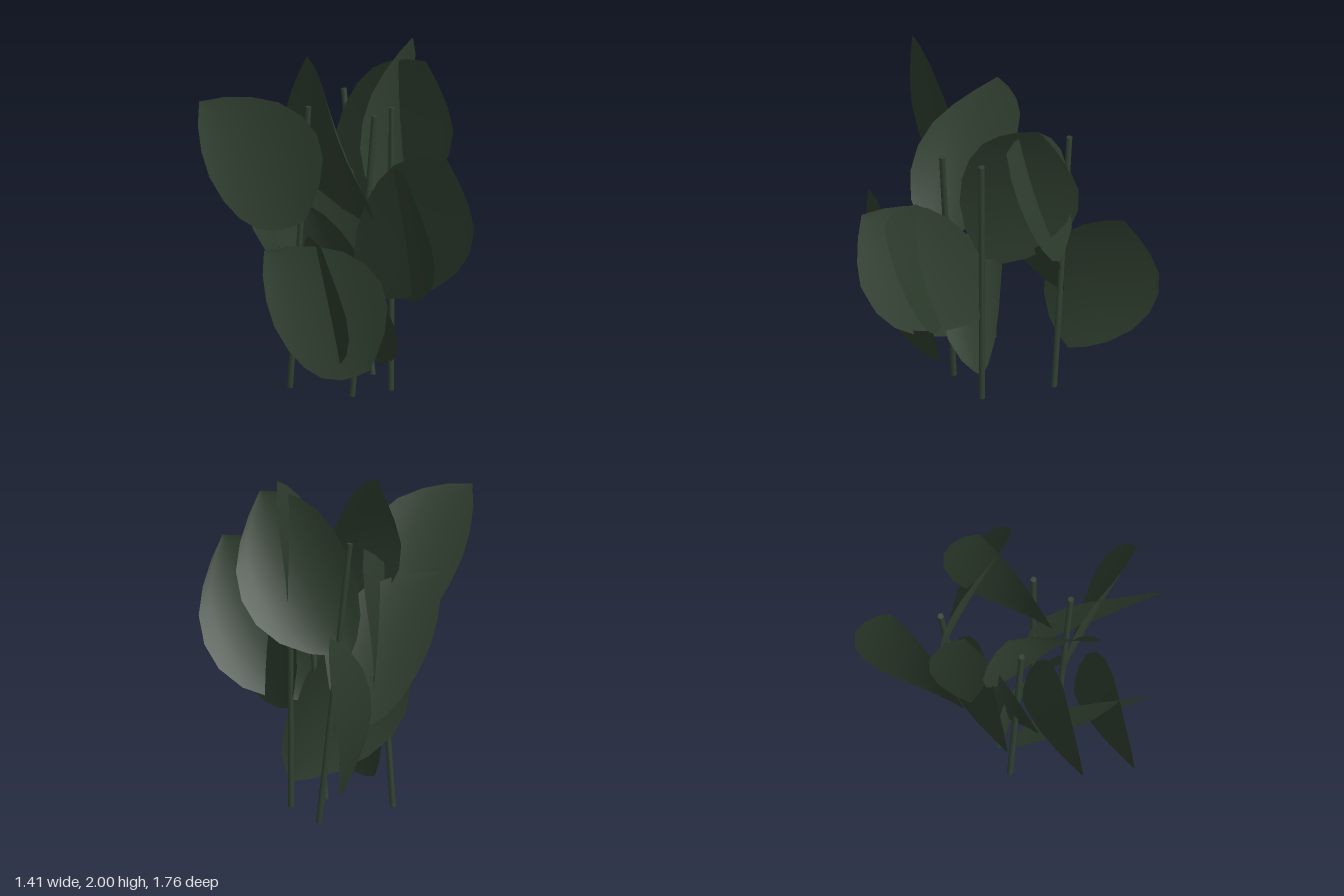
import * as THREE from 'three';

const leafGreen = new THREE.MeshStandardMaterial({ color: 0x2e3d2e, side: THREE.DoubleSide });
leafGreen.name = 'leaf green';
const stemGreen = new THREE.MeshStandardMaterial({ color: 0x2f4030 });
stemGreen.name = 'stem green';

// Half-width of a leaf along its midrib: a corner at the stem and at the tip
const OUTLINE = [
  [0, 0], [0.04, 0.24], [0.12, 0.55], [0.25, 0.84], [0.4, 0.99], [0.55, 1],
  [0.7, 0.88], [0.82, 0.64], [0.92, 0.34], [1, 0],
];
const ACROSS = 8;

// A cupped leaf through five points: base, middle and tip of the midrib, and its two side edges
function leafGeometry({ base, mid, tip, low, up }) {
  const [b, m, t, l, u] = [base, mid, tip, low, up].map((p) => new THREE.Vector3(...p));
  const control = m.clone().multiplyScalar(2).addScaledVector(b, -0.5).addScaledVector(t, -0.5);
  const midrib = new THREE.QuadraticBezierCurve3(b, control, t);
  const side = u.clone().sub(l).multiplyScalar(0.5);
  const cup = u.clone().add(l).multiplyScalar(0.5).sub(m);
  const positions = [];
  const index = [];
  OUTLINE.forEach(([s, w], row) => {
    for (let i = 0; i <= ACROSS; i++) {
      const v = (i / ACROSS) * 2 - 1;
      const p = midrib.getPoint(s).addScaledVector(side, v * w).addScaledVector(cup, v * v * w * w);
      positions.push(p.x, p.y, p.z);
      if (row > 0 && i > 0) {
        const d = row * (ACROSS + 1) + i;
        const a = d - ACROSS - 2;
        index.push(a, a + 1, d, a, d, d - 1);
      }
    }
  });
  const geometry = new THREE.BufferGeometry();
  geometry.setAttribute('position', new THREE.Float32BufferAttribute(positions, 3));
  geometry.setIndex(index);
  geometry.computeVertexNormals();
  return geometry;
}

// Five leaf directions, each with the offsets (and turn about y) at which it is repeated
const LEAVES = [
  {
    name: 'backLeaf',
    base: [0.08, 1.0, -0.06], mid: [0.0, 1.5, -0.22], tip: [0.035, 2.0, -0.39],
    low: [-0.08, 1.4, -0.54], up: [-0.03, 1.54, 0.11],
    at: [[0, 0, 0], [-0.44, -0.82, -0.315], [-0.45, -0.41, 0.21]],
  },
  {
    name: 'frontRightLeaf',
    base: [-0.36, 0.99, 0.18], mid: [-0.47, 1.39, 0.5], tip: [-0.705, 1.78, 0.815],
    low: [-0.58, 1.15, 0.69], up: [-0.27, 1.61, 0.32],
    at: [[0, 0, 0], [0, -0.41, -0.525], [0.45, -0.82, 0.05]],
  },
  {
    name: 'leftLeaf',
    base: [0.03, 0.59, 0.19], mid: [0.37, 1.05, 0.23], tip: [0.63, 1.48, 0.3],
    low: [0.62, 0.84, 0.05], up: [0.13, 1.25, 0.25],
    at: [[0, 0, 0], [-0.44, 0.42, -0.56]],
  },
  {
    name: 'frontLeftLeaf',
    base: [0.09, 0.58, -0.05], mid: [0.31, 0.99, 0.22], tip: [0.49, 1.39, 0.52],
    low: [0.58, 0.8, 0.36], up: [0.14, 1.24, 0.1],
    at: [[0, 0, 0], [-0.445, -0.41, 0.21]],
  },
  {
    name: 'rightLeaf',
    base: [0.09, 1.01, 0.2], mid: [-0.18, 1.47, 0.19], tip: [-0.39, 1.94, 0.1],
    low: [-0.52, 1.38, 0.06], up: [0.0, 1.53, 0.43],
    at: [[0, 0, 0], [-0.11, -0.86, -0.17, Math.PI / 6]],
  },
];

// Stems: x at the foot, x at the top, z
const STEMS = [
  [-0.21, -0.4, -0.36],
  [0.08, 0.085, -0.045],
  [-0.04, 0.105, 0.2],
  [-0.465, -0.345, 0.165],
];

export function createModel() {
  const plant = new THREE.Group();
  plant.name = 'plant';

  for (const [x0, x1, z] of STEMS) {
    const foot = new THREE.Vector3(x0, 0, z);
    const axis = new THREE.Vector3(x1, 1.66, z).sub(foot);
    const stem = new THREE.Mesh(new THREE.CylinderGeometry(0.018, 0.018, axis.length(), 8), stemGreen);
    stem.name = 'stem';
    stem.position.copy(foot).addScaledVector(axis, 0.5);
    stem.quaternion.setFromUnitVectors(new THREE.Vector3(0, 1, 0), axis.normalize());
    plant.add(stem);
  }

  for (const leaf of LEAVES) {
    const geometry = leafGeometry(leaf);
    for (const [x, y, z, turn = 0] of leaf.at) {
      const mesh = new THREE.Mesh(geometry, leafGreen);
      mesh.name = leaf.name;
      mesh.position.set(x, y, z);
      mesh.rotation.y = turn;
      plant.add(mesh);
    }
  }
  return plant;
}
